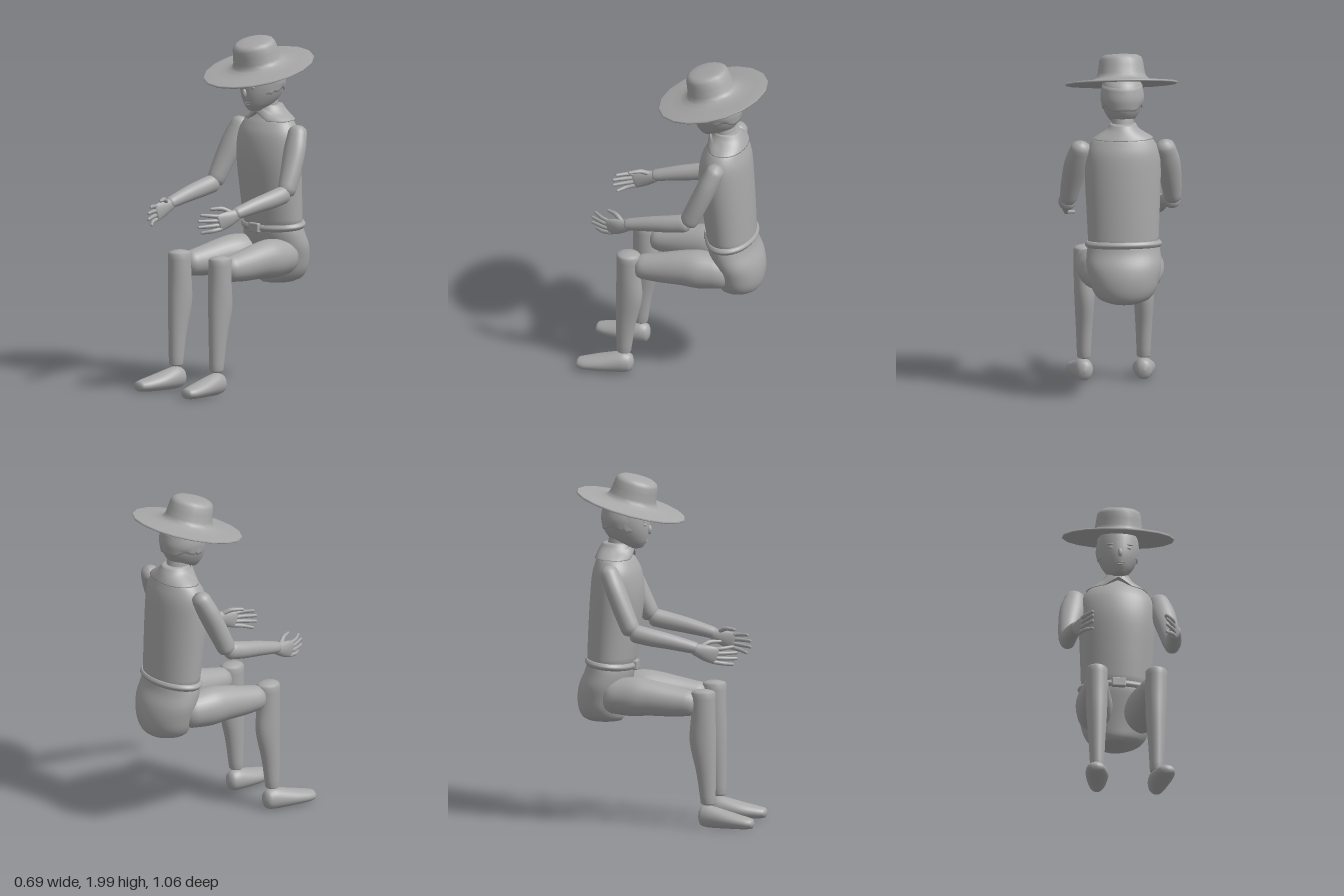
import * as THREE from 'three';
import { RoundedBoxGeometry } from 'three/addons/geometries/RoundedBoxGeometry.js';

const clay = new THREE.MeshStandardMaterial({ color: 0xa8a8a8 });
clay.name = 'clay grey';

function add(group, name, geometry) {
  const mesh = new THREE.Mesh(geometry, clay);
  mesh.name = name;
  group.add(mesh);
  return mesh;
}

// Smooth closed body through elliptical rows [x, y, z, a, b], rings square to dir, rounded ends
function loft(rows, dir, { cap = 0.5, seg = 28, steps = 4, rule } = {}) {
  const d = new THREE.Vector3(...dir).normalize();
  const ref = Math.abs(d.y) > 0.8 ? new THREE.Vector3(0, 0, 1) : new THREE.Vector3(0, 1, 0);
  const u = d.clone().cross(ref).normalize(), v = d.clone().cross(u);
  const curve = (f) => new THREE.CatmullRomCurve3(rows.map(f), false, 'catmullrom', 0.5);
  const centre = curve((r) => new THREE.Vector3(r[0], r[1], r[2]));
  const size = curve((r) => new THREE.Vector3(r[3], r[4] ?? r[3], 0));
  const rings = [];
  const ring = (t, phi) => {
    const s = size.getPoint(t), depth = cap * Math.min(s.x, s.y);
    rings.push([centre.getPoint(t).addScaledVector(d, depth * Math.sin(phi)), s.x * Math.cos(phi), s.y * Math.cos(phi)]);
  };
  const bend = [0.5, 0.34, 0.17].map((k) => k * Math.PI * 0.999);
  bend.forEach((phi) => ring(0, -phi));
  const n = (rows.length - 1) * steps;
  for (let i = 0; i <= n; i++) ring(i / n, 0);
  bend.reverse().forEach((phi) => ring(1, phi));

  const pos = [], index = [];
  rings.forEach(([c, a, b], i) => {
    for (let j = 0; j < seg; j++) {
      const th = (j / seg) * Math.PI * 2;
      const p = c.clone().addScaledVector(u, a * Math.cos(th)).addScaledVector(v, b * Math.sin(th));
      if (rule) rule(p);
      pos.push(p.x, p.y, p.z);
      if (i === rings.length - 1) continue;
      const k = i * seg + j, m = i * seg + ((j + 1) % seg);
      index.push(k, m, k + seg, m, m + seg, k + seg);
    }
  });
  const g = new THREE.BufferGeometry();
  g.setAttribute('position', new THREE.Float32BufferAttribute(pos, 3));
  g.setIndex(index);
  g.computeVertexNormals();
  return g;
}

function blob(group, name, [x, y, z], [sx, sy, sz]) {
  add(group, name, new THREE.SphereGeometry(1, 16, 10).scale(sx, sy, sz).translate(x, y, z));
}

const UP = [0, 1, 0];

function makeBody(root) {
  add(root, 'torso', loft([
    [0, 0.91, -0.335, 0.2, 0.135], [0, 1.1, -0.317, 0.208, 0.146], [0, 1.3, -0.3, 0.216, 0.152],
    [0, 1.43, -0.3, 0.21, 0.14], [0, 1.5, -0.305, 0.18, 0.115], [0, 1.535, -0.31, 0.14, 0.095],
    [0, 1.57, -0.31, 0.07, 0.07]], UP, { cap: 0.1, seg: 40 }));
  add(root, 'hips', loft([
    [0, 0.585, -0.37, 0.09, 0.095], [0, 0.61, -0.38, 0.145, 0.12], [0, 0.66, -0.385, 0.18, 0.135],
    [0, 0.73, -0.38, 0.2, 0.145], [0, 0.8, -0.365, 0.214, 0.147], [0, 0.87, -0.342, 0.21, 0.14],
    [0, 0.92, -0.335, 0.2, 0.135]], UP, { cap: 0.06, seg: 40 }));
  add(root, 'belt', loft([
    [0, 0.897, -0.335, 0.208, 0.137], [0, 0.916, -0.335, 0.22, 0.147], [0, 0.935, -0.335, 0.208, 0.137]],
    UP, { cap: 0.02, seg: 40, rule: (p) => { p.y -= (p.z + 0.335) * 0.09; } }));
  add(root, 'beltBuckle', new RoundedBoxGeometry(0.08, 0.055, 0.03, 2, 0.008).translate(0, 0.905, -0.192));

  // Draped collar, its front edge parting upwards at the throat
  add(root, 'collar', loft([
    [0, 1.522, -0.312, 0.175, 0.112], [0, 1.54, -0.31, 0.15, 0.107], [0, 1.575, -0.308, 0.095, 0.093],
    [0, 1.605, -0.305, 0.073, 0.078]], UP, {
    cap: 0.04, seg: 40,
    rule: (p) => {
      if (p.z > -0.3 && p.y < 1.57) p.y += 0.05 * Math.max(0, 1 - Math.abs(p.x) / 0.08) - 0.004;
    } }));
  add(root, 'neck', loft([[0, 1.54, -0.3, 0.066], [0, 1.66, -0.28, 0.062]], UP));
}

function makeHead(root) {
  const head = new THREE.Group();
  head.name = 'head';
  root.add(head);
  add(head, 'face', loft([
    [0, 1.585, -0.195, 0.04, 0.045], [0, 1.62, -0.228, 0.074, 0.1], [0, 1.68, -0.245, 0.106, 0.13],
    [0, 1.75, -0.25, 0.12, 0.134], [0, 1.82, -0.25, 0.112, 0.125], [0, 1.87, -0.24, 0.08, 0.09]], UP, { cap: 0.3 }));
  // Hair cap with a wavy lower edge and sideburns
  add(head, 'hair', loft([
    [0, 1.695, -0.258, 0.113, 0.126], [0, 1.75, -0.262, 0.124, 0.13], [0, 1.82, -0.258, 0.114, 0.124]], UP, {
    cap: 0.02, seg: 48,
    rule: (p) => {
      if (p.y < 1.72) p.y += 0.01 * Math.cos(p.z * 60) - (p.z > -0.235 && p.z < -0.185 ? 0.025 : 0);
    } }));
  blob(head, 'nose', [0, 1.682, -0.114], [0.014, 0.026, 0.014]);
  blob(head, 'upperLip', [0, 1.628, -0.135], [0.03, 0.005, 0.012]);
  blob(head, 'lowerLip', [0, 1.617, -0.138], [0.024, 0.006, 0.012]);
  for (const s of [1, -1]) {
    blob(head, 'eye', [s * 0.05, 1.716, -0.131], [0.016, 0.008, 0.008]);
    blob(head, 'brow', [s * 0.05, 1.737, -0.131], [0.024, 0.005, 0.008]);
  }

  // Wide brimmed hat, tipped forwards
  const profile = [[0, 0.012], [0.11, 0.012], [0.2, 0], [0.3, -0.006], [0.317, -0.004], [0.322, 0.002],
    [0.315, 0.009], [0.25, 0.011], [0.19, 0.018], [0.155, 0.028], [0.141, 0.042], [0.135, 0.06], [0.129, 0.1],
    [0.124, 0.135], [0.115, 0.153], [0.095, 0.164], [0.05, 0.168], [0, 0.168]];
  const hat = add(head, 'hat', new THREE.LatheGeometry(profile.map((p) => new THREE.Vector2(...p)), 18));
  hat.position.set(0, 1.8175, -0.2225);
  hat.rotation.x = THREE.MathUtils.degToRad(15);
}

// One leg or arm; s is 1 for the left side and -1 for the right
function makeLimbs(root, s) {
  const side = s > 0 ? 'left' : 'right';
  const leg = new THREE.Group(), arm = new THREE.Group();
  leg.name = side + 'Leg';
  arm.name = side + 'Arm';
  root.add(leg, arm);
  const part = (group, name, rows, dir, options) => add(group, name,
    loft(rows.map(([x, ...rest]) => [s * x, ...rest]), [s * dir[0], dir[1], dir[2]], options));

  part(leg, 'thigh', [
    [0.13, 0.742, -0.3, 0.095, 0.1], [0.142, 0.743, -0.18, 0.105, 0.112], [0.15, 0.74, -0.08, 0.095, 0.102],
    [0.158, 0.725, 0.05, 0.08, 0.087], [0.163, 0.717, 0.15, 0.069, 0.073]], [0.03, -0.03, 0.5], { cap: 0.7 });
  part(leg, 'shin', [
    [0.17, 0.78, 0.228, 0.062, 0.07], [0.169, 0.65, 0.228, 0.062, 0.07], [0.169, 0.5, 0.226, 0.058, 0.076],
    [0.17, 0.32, 0.245, 0.047, 0.056], [0.17, 0.15, 0.256, 0.039, 0.042]], [0, -1, 0], { cap: 0.35 });
  part(leg, 'foot', [
    [0.17, 0.072, 0.225, 0.046, 0.056], [0.173, 0.072, 0.27, 0.056, 0.063], [0.183, 0.057, 0.38, 0.066, 0.049],
    [0.196, 0.046, 0.47, 0.057, 0.037], [0.2, 0.043, 0.51, 0.044, 0.03]], [0, 0, 1], { cap: 0.55 });

  part(arm, 'upperArm', [
    [0.24, 1.465, -0.303, 0.058, 0.052], [0.26, 1.37, -0.262, 0.07, 0.057], [0.283, 1.25, -0.21, 0.061, 0.056],
    [0.297, 1.155, -0.168, 0.05, 0.054]], [0.06, -0.33, 0.14], { cap: 0.8 });
  part(arm, 'forearm', [
    [0.298, 1.13, -0.14, 0.046, 0.052], [0.298, 1.11, -0.05, 0.046, 0.05], [0.291, 1.088, 0.06, 0.042, 0.044],
    [0.28, 1.055, 0.2, 0.034, 0.034]], [-0.02, -0.08, 0.34], { cap: 0.7 });
  part(arm, 'palm', [
    [0.279, 1.048, 0.2, 0.028, 0.034], [0.274, 1.028, 0.26, 0.023, 0.046], [0.264, 1.01, 0.32, 0.014, 0.05]],
    [-0.03, -0.1, 0.3], { cap: 0.6 });
  const reach = [0.41, 0.428, 0.428, 0.405];
  for (let i = 0; i < 4; i++) {
    const y = 1.047 - i * 0.024, tip = 1.058 - i * 0.034, z = reach[i];
    part(arm, 'finger', [
      [0.268, y, 0.31, 0.01, 0.012], [0.25, (y + tip) / 2, 0.36, 0.01, 0.0115], [0.212, tip, z, 0.008, 0.009]],
      [-0.055, tip - y, z - 0.31], { seg: 10, cap: 0.9 });
  }
  part(arm, 'thumb', [
    [0.272, 1.065, 0.24, 0.014], [0.245, 1.086, 0.28, 0.013], [0.213, 1.086, 0.335, 0.009]],
    [-0.06, 0.02, 0.095], { seg: 10, cap: 0.9 });
}

export function createModel() {
  const root = new THREE.Group();
  root.name = 'seatedFigure';
  makeBody(root);
  makeHead(root);
  for (const s of [1, -1]) makeLimbs(root, s);
  return root;
}
